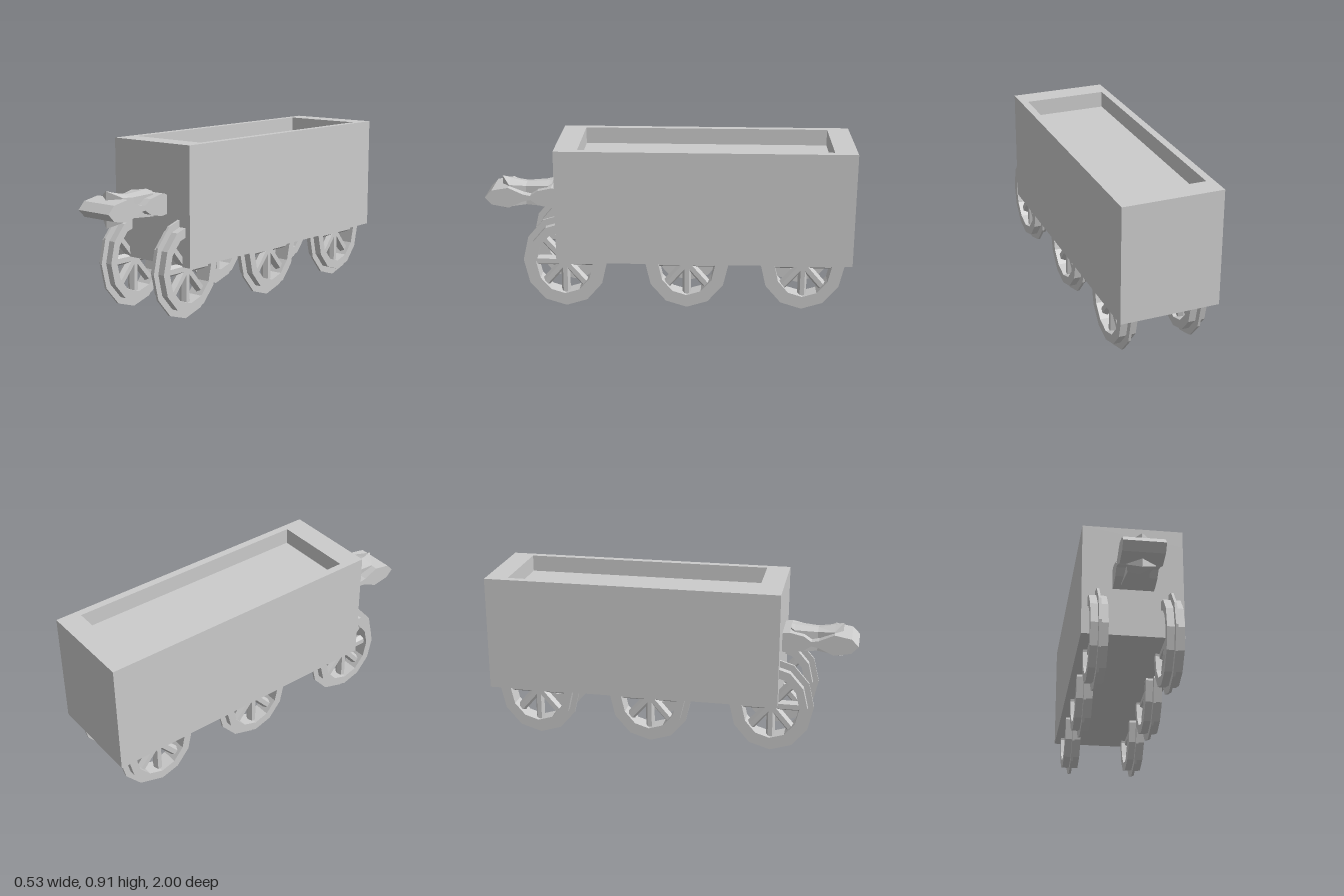
import * as THREE from 'three';

const mat = new THREE.MeshStandardMaterial({ color: 0xcccccc, flatShading: true, side: THREE.DoubleSide });

function add(parent, geometry, name) {
  const mesh = new THREE.Mesh(geometry, mat);
  mesh.name = name;
  parent.add(mesh);
  return mesh;
}

const rect = (C, x, z0, z1) => new C([[-x, z0], [x, z0], [x, z1], [-x, z1]].map(p => new THREE.Vector2(...p)));

// Hollow-topped wagon box: solid lower block and a raised border
function makeBody() {
  const body = new THREE.Group();
  body.name = 'wagonBody';
  const floor = 0.815;
  add(body, new THREE.BoxGeometry(0.53, floor - 0.28, 1.595), 'lowerBody')
    .position.set(0, (floor + 0.28) / 2, -0.2025);
  const border = rect(THREE.Shape, 0.265, -0.595, 1);
  border.holes.push(rect(THREE.Path, 0.225, -0.47, 0.88));
  const geo = new THREE.ExtrudeGeometry(border, { depth: 0.905 - floor, bevelEnabled: false });
  geo.rotateX(-Math.PI / 2).translate(0, floor, 0);
  add(body, geo, 'topBorder');
  return body;
}

// Twelve-sided rim with a thin central flange, and eight spokes
function makeWheel() {
  const wheel = new THREE.Group();
  wheel.name = 'wheel';
  const profile = [
    [0.18, -0.045], [0.23, -0.045], [0.23, -0.0065], [0.267, -0.0065],
    [0.267, 0.0065], [0.23, 0.0065], [0.23, 0.045], [0.18, 0.045], [0.18, -0.045],
  ].map(p => new THREE.Vector2(...p));
  add(wheel, new THREE.LatheGeometry(profile, 12).rotateZ(-Math.PI / 2), 'rim');
  for (let i = 0; i < 4; i++) {
    const spoke = add(wheel, new THREE.CylinderGeometry(0.028, 0.028, 0.38, 6), 'spokePair');
    spoke.rotation.x = i * Math.PI / 4;
  }
  return wheel;
}

// Front coupling: two faceted lobes joined at a narrow waist
function makeCoupling() {
  const coupling = new THREE.Group();
  coupling.name = 'coupling';
  const midY = 0.593;
  const half = [[1, 0], [0.962, 0.04], [0.87, 0.057], [0.79, 0.02], [0.75, 0.012],
    [0.71, 0.04], [0.635, 0.057], [0.58, 0.05]];
  const lower = half.slice(1).reverse().map(([z, h]) => [z, -h]);
  const shape = new THREE.Shape([...half, ...lower].map(([z, h]) => new THREE.Vector2(-z, midY + h)));
  const geo = new THREE.ExtrudeGeometry(shape, { depth: 0.214, bevelEnabled: false });
  geo.translate(0, 0, -0.107).rotateY(Math.PI / 2);
  add(coupling, geo, 'couplingBar');

  // Ridged clasp through the waist: z, half width, edge height, ridge height
  const sections = [[0.915, 0.001, 0.094, 0.095], [0.87, 0.072, 0.062, 0.082], [0.78, 0.056, 0.053, 0.062],
    [0.655, 0.07, 0.06, 0.07], [0.635, 0.045, 0.066, 0.073]];
  const pos = [], index = [];
  for (const [z, w, e, r] of sections) {
    for (const [x, y] of [[0, r], [-w, e], [-w, -e], [0, -r], [w, -e], [w, e]]) pos.push(x, midY + y, z);
  }
  for (let s = 0; s < sections.length - 1; s++) {
    for (let i = 0; i < 6; i++) {
      const a = s * 6 + i, b = s * 6 + (i + 1) % 6;
      index.push(a, b, a + 6, b, b + 6, a + 6);
    }
  }
  const end = (sections.length - 1) * 6;
  for (let i = 1; i < 5; i++) {
    index.push(0, i, i + 1);
    index.push(end, end + i + 1, end + i);
  }
  const clasp = new THREE.BufferGeometry();
  clasp.setAttribute('position', new THREE.Float32BufferAttribute(pos, 3));
  clasp.setIndex(index);
  clasp.computeVertexNormals();
  add(coupling, clasp, 'clasp');
  return coupling;
}

export function createModel() {
  const model = new THREE.Group();
  model.name = 'wagon';
  model.add(makeBody(), makeCoupling());
  // Three pairs of wheels, slightly taller than long
  for (const z of [0.555, -0.11, -0.74]) {
    for (const side of [-1, 1]) {
      const wheel = makeWheel();
      wheel.position.set(side * 0.189, 0.267, z);
      wheel.scale.z = 0.86;
      model.add(wheel);
    }
  }
  return model;
}
